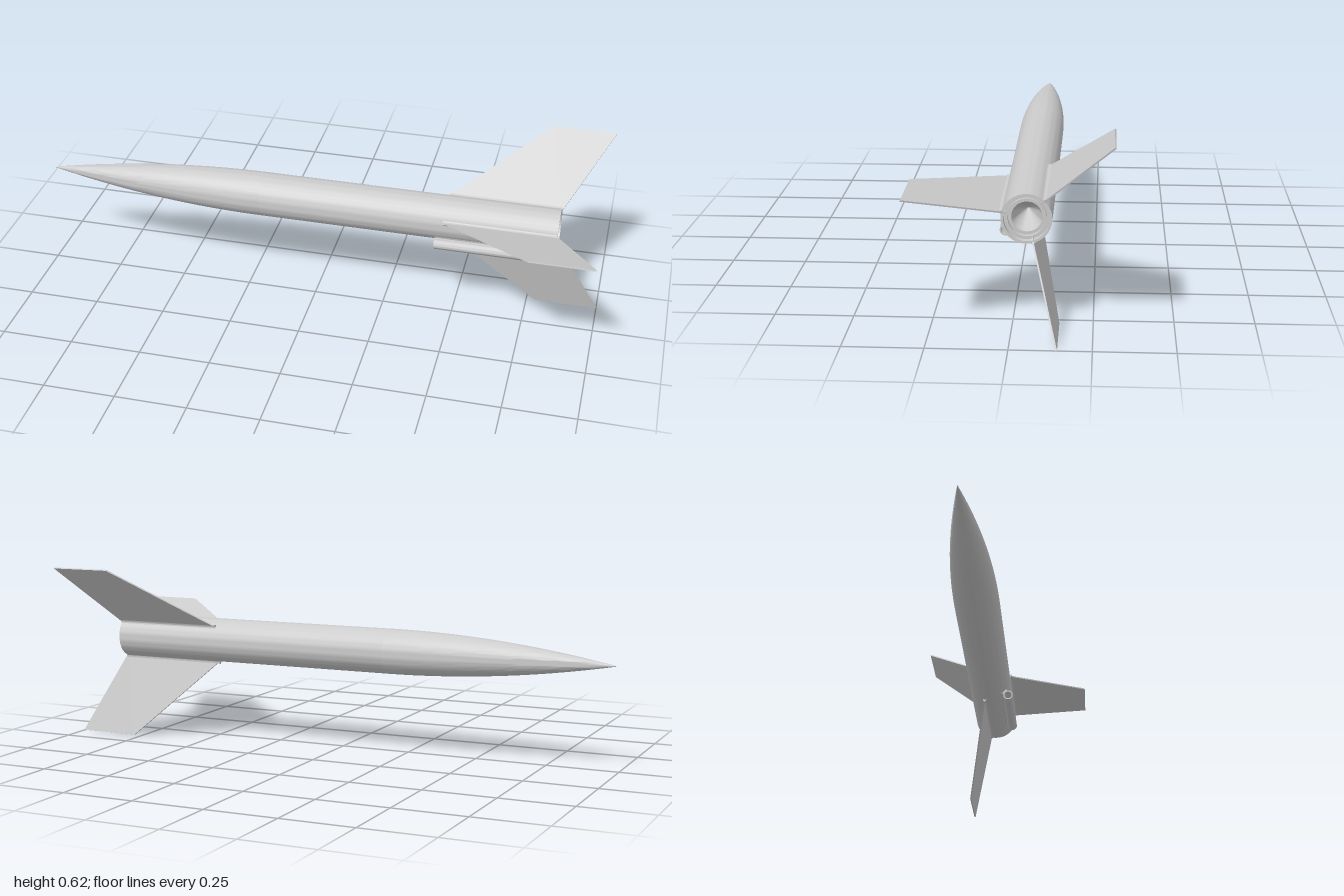
import * as THREE from 'three';
import { toCreasedNormals } from 'three/addons/utils/BufferGeometryUtils.js';

const material = new THREE.MeshStandardMaterial({ color: 0xcccccc, side: THREE.DoubleSide });
const R = 0.078;            // body radius
const TAIL = 0.85;          // rear end of the body tube
const FIN_START = 0.457;

function part(name, geometry) {
  const mesh = new THREE.Mesh(toCreasedNormals(geometry, 0.5), material);
  mesh.name = name;
  return mesh;
}

// Revolves [radius, x] pairs around the long axis
function revolve(name, profile) {
  const points = profile.map(([r, x]) => new THREE.Vector2(r, x));
  return part(name, new THREE.LatheGeometry(points, 64).rotateZ(-Math.PI / 2));
}

// Extrudes a cross-section (sideways, radial) along x
function alongBody(name, shape, start, end) {
  const geometry = new THREE.ExtrudeGeometry(shape, { depth: end - start, bevelEnabled: false, curveSegments: 16 });
  return part(name, geometry.rotateY(Math.PI / 2).translate(start, 0, 0));
}

// Concave-sided ridge that blends a part into the body
function filletShape(base, top, height) {
  const low = Math.sqrt(R * R - base * base) - 0.001;
  const s = new THREE.Shape();
  s.moveTo(-base, low);
  s.lineTo(base, low);
  s.quadraticCurveTo(top, R, top, height);
  s.lineTo(-top, height);
  s.quadraticCurveTo(-top, R, -base, low);
  return s;
}

function createFin(angle) {
  const fin = new THREE.Group();
  fin.name = 'fin';
  const outline = new THREE.Shape([
    [FIN_START - 0.01, 0.066], [0.78, 0.372], [1, 0.372], [TAIL, 0.074], [TAIL - 0.004, 0.066],
  ].map(([x, r]) => new THREE.Vector2(x, r)));
  const blade = new THREE.ExtrudeGeometry(outline, { depth: 0.005, bevelEnabled: false });
  fin.add(part('finBlade', blade.translate(0, 0, -0.0025)));
  fin.add(alongBody('finFillet', filletShape(0.015, 0.0025, 0.087), FIN_START, TAIL));
  fin.rotation.x = angle;
  return fin;
}

function createLaunchLug() {
  const lug = new THREE.Group();
  lug.name = 'launchLug';
  const ring = new THREE.Shape().absarc(0, 0.099, 0.018, 0, Math.PI * 2);
  ring.holes.push(new THREE.Path().absarc(0, 0.099, 0.014, 0, Math.PI * 2, true));
  lug.add(alongBody('lugTube', ring, 0.43, 0.745));
  lug.add(alongBody('lugFillet', filletShape(0.022, 0.0085, 0.0845), 0.43, 0.745));
  lug.rotation.x = THREE.MathUtils.degToRad(135);
  return lug;
}

export function createModel() {
  const rocket = new THREE.Group();
  rocket.name = 'modelRocket';

  // Nose cone with a parabolic curve that runs smoothly into the body
  const nose = [];
  for (let i = 0; i <= 32; i++) {
    const t = i / 32;
    nose.push([R * (1 - (1 - t) ** 2), -1 + 0.8 * t]);
  }
  rocket.add(revolve('noseCone', nose));

  // Body tube, turned in at the tail
  rocket.add(revolve('bodyTube', [[R, -0.2], [R, TAIL], [0.07, TAIL], [0.07, 0.83]]));

  // Centring ring, motor tube and nozzle, stepping inwards
  rocket.add(revolve('motorMount', [
    [0.07, 0.83], [0.061, 0.83], [0.061, 0.84], [0.057, 0.84], [0.057, 0.825], [0.047, 0.825],
  ]));
  rocket.add(revolve('nozzle', [[0.047, 0.825], [0.034, 0.79], [0, 0.73]]));

  // Three fins, 120 degrees apart
  for (let i = 0; i < 3; i++) {
    rocket.add(createFin(THREE.MathUtils.degToRad(75 + 120 * i)));
  }
  rocket.add(createLaunchLug());

  rocket.position.set(0, 0.36, -0.047);
  const model = new THREE.Group();
  model.name = 'model';
  model.add(rocket);
  return model;
}
